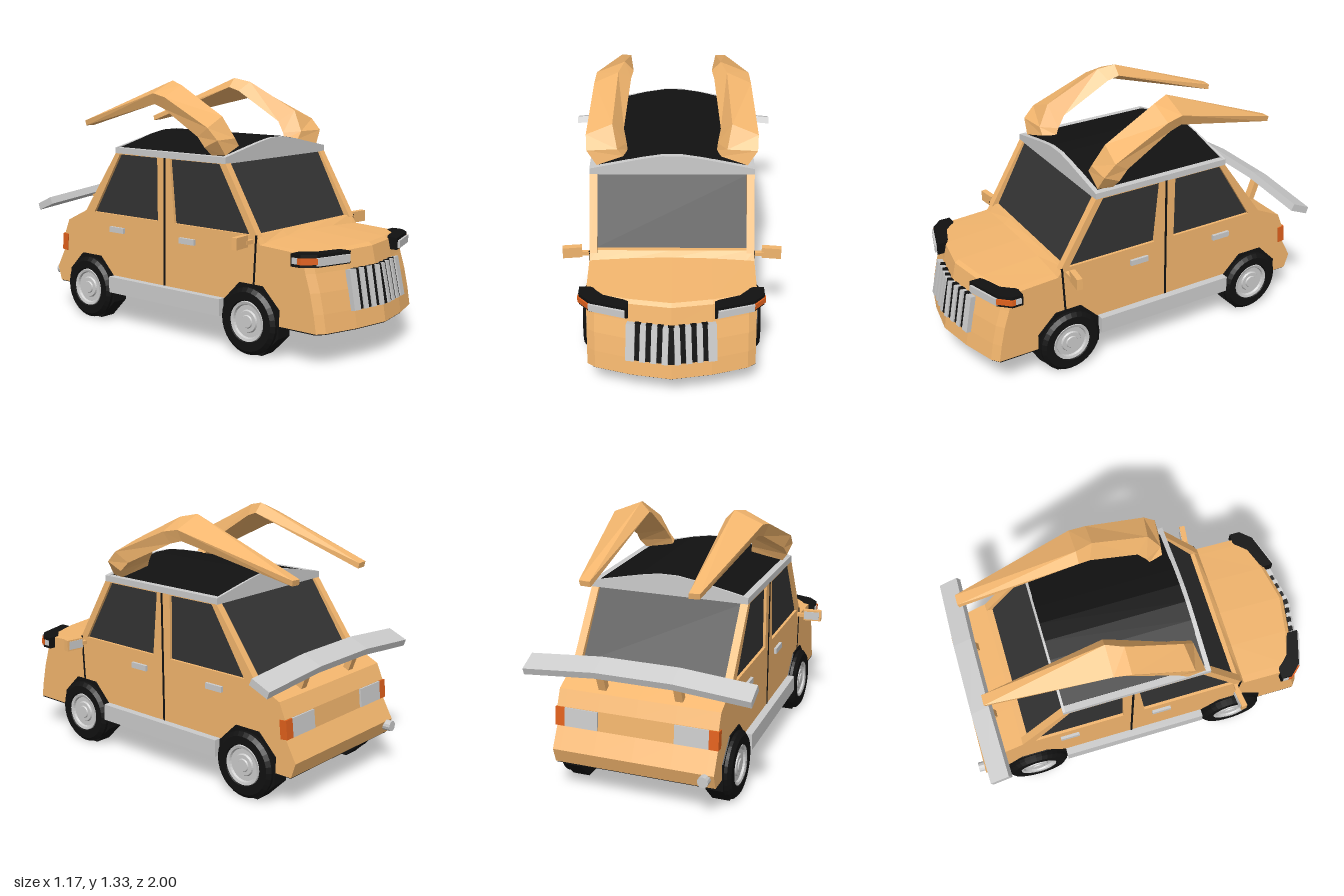
import * as THREE from 'three';

const mat = (color) => new THREE.MeshStandardMaterial({ color, flatShading: true });
const paint = mat(0xf2b56d), grey = mat(0xcccccc), black = mat(0x111111);
const glass = mat(0x333333), amber = mat(0xe0601c);

const V = (x, y, z) => new THREE.Vector3(x, y, z);

// Skin over closed rings with fan caps; winding is fixed by the signed volume
function loft(rings) {
  const tris = [], n = rings[0].length, last = rings.length - 1;
  for (let i = 0; i < last; i++) {
    for (let j = 0; j < n; j++) {
      const k = (j + 1) % n;
      const a = rings[i][j], b = rings[i][k], c = rings[i + 1][k], d = rings[i + 1][j];
      tris.push([a, b, c], [a, c, d]);
    }
  }
  [0, last].forEach((r) => {
    const ring = rings[r], mid = V(0, 0, 0);
    ring.forEach((p) => mid.addScaledVector(p, 1 / n));
    ring.forEach((p, j) => {
      const q = ring[(j + 1) % n];
      tris.push(r ? [mid, p, q] : [mid, q, p]);
    });
  });
  const volume = tris.reduce((s, [a, b, c]) => s + a.dot(b.clone().cross(c)), 0);
  const pos = [];
  tris.forEach(([a, b, c]) => (volume < 0 ? [a, c, b] : [a, b, c]).forEach((p) => pos.push(p.x, p.y, p.z)));
  const g = new THREE.BufferGeometry();
  g.setAttribute('position', new THREE.Float32BufferAttribute(pos, 3));
  g.computeVertexNormals();
  return g;
}

// How far the nose falls back from its centre at a given x
function noseDrop(x) {
  const xs = [0, 0.2, 0.38, 0.42], ds = [0, 0.035, 0.09, 0.12];
  const a = Math.min(Math.abs(x), 0.42);
  let i = 0;
  while (i < 2 && a > xs[i + 1]) i++;
  return ds[i] + ((a - xs[i]) / (xs[i + 1] - xs[i])) * (ds[i + 1] - ds[i]);
}

export function createModel() {
  const car = new THREE.Group();
  car.name = 'car';
  const add = (name, geometry, material) => {
    const m = new THREE.Mesh(geometry, material);
    m.name = name;
    car.add(m);
    return m;
  };
  const box = (name, material, w, h, d, x, y, z) => {
    const m = add(name, new THREE.BoxGeometry(w, h, d), material);
    m.position.set(x, y, z);
    return m;
  };
  // Prism with a plan outline [x, z]
  const slab = (name, material, plan, y0, y1) =>
    add(name, loft([y0, y1].map((y) => plan.map(([x, z]) => V(x, y, z)))), material);
  // Prism with an end outline [x, y]
  const beam = (name, material, end, z0, z1) =>
    add(name, loft([z0, z1].map((z) => end.map(([x, y]) => V(x, y, z)))), material);

  // Lower body: side profile [z, y, nose weight, bonnet crown] swept across x
  const profile = [
    [0.99, 0.168, 1, 0], [0.975, 0.26, 1, 0], [0.953, 0.36, 1, 0], [0.925, 0.45, 1, 0],
    [0.905, 0.53, 1, 0.01], [0.885, 0.543, 1, 0.012], [0.53, 0.555, 0, 0.02], [0.5, 0.598, 0, 0],
    [-0.72, 0.598, 0, 0], [-0.865, 0.53, 0, 0], [-0.9, 0.45, 0, 0], [-0.91, 0.35, 0, 0],
    [-0.968, 0.245, 0, 0], [-0.942, 0.168, 0, 0],
  ];
  const stations = [-0.42, -0.38, -0.2, 0, 0.2, 0.38, 0.42];
  add('lowerBody', loft(stations.map((x) => profile.map(([z, y, nose, crown]) =>
    V(x, y + crown * (1 - (x / 0.42) ** 2), z - nose * noseDrop(x))))), paint);
  const nosePlan = stations.map((x) => [x, 0.985 - noseDrop(x)]);
  slab('underside', black, [...nosePlan, [0.415, -0.938], [-0.415, -0.938]], 0.163, 0.17);

  // Cabin glass inside the pillar frames
  const cabin = [[0.48, 0.59], [0.295, 0.938], [-0.455, 0.938], [-0.69, 0.59]];
  add('cabinGlass', loft([-0.405, 0.405].map((x) => cabin.map(([z, y]) => V(x, y, z)))), glass);

  // Roof: grey slab with arched ends and a black arched top
  const arch = (w, y0, lift) => [[-w, y0], [w, y0], [w, 0.968 + lift], [0.15, 1.025 + lift], [0.05, 1.041 + lift],
    [-0.05, 1.041 + lift], [-0.15, 1.025 + lift], [-w, 0.968 + lift]];
  box('roofSlab', grey, 0.84, 0.033, 0.78, 0, 0.9515, -0.08);
  beam('frontRoofArch', grey, arch(0.42, 0.936, 0), 0.285, 0.31);
  beam('rearRoofArch', grey, arch(0.42, 0.936, 0), -0.475, -0.462);
  beam('roofTop', black, arch(0.385, 0.94, 0.002), -0.464, 0.287);

  // Radiator grille: dark slots between upright bars, following the nose
  const grille = (name, m, w, x, z) => {
    const b = box(name, m, w, 0.2, 0.03, x, 0.355, z - noseDrop(x));
    b.rotation.set(-0.2, Math.sign(x) * 0.17, 0, 'YXZ');
  };
  for (let k = -3; k <= 3; k++) grille('grilleSlot', black, 0.03, k * 0.055, 0.955);
  for (const s of [-1, 1]) {
    for (const x of [0.0275, 0.0825, 0.1375]) grille('grilleBar', grey, 0.029, s * x, 0.964);
    grille('grilleEnd', grey, 0.044, s * 0.199, 0.964);
  }

  // Rear wing: tilted blade, bowed up in the middle
  const blade = [[-0.83, 0.68], [-0.813, 0.645], [-0.92, 0.6], [-0.932, 0.635]];
  add('rearWing', loft([[-0.585, 0], [-0.2, 0.035], [0.2, 0.035], [0.585, 0]].map(([x, up]) =>
    blade.map(([z, y]) => V(x, y + up, z - up * 0.2)))), grey);

  const exhaust = add('exhaust', new THREE.CylinderGeometry(0.028, 0.028, 0.1, 12), grey);
  exhaust.rotation.x = Math.PI / 2;
  exhaust.position.set(-0.375, 0.222, -0.95);

  const tyre = [[0, -0.062], [0.15, -0.062], [0.17, -0.045], [0.17, 0.045], [0.15, 0.062], [0.108, 0.062], [0.1, 0.04]];
  const hub = [[0.106, 0.035], [0.101, 0.06], [0.087, 0.056], [0.082, 0.045], [0.058, 0.045],
    [0.053, 0.054], [0.034, 0.054], [0.03, 0.06], [0, 0.06]];
  const lathe = (pts) => new THREE.LatheGeometry(pts.map(([r, h]) => new THREE.Vector2(r, h)), 32);

  // Curved horn sections: top inner, top outer, bottom outer, bottom inner
  const horn = [
    [[0.25, 1.01, 0.255], [0.385, 0.972, 0.28], [0.4, 0.97, 0.2], [0.23, 1.005, 0.18]],
    [[0.28, 1.05, 0.255], [0.435, 1.05, 0.27], [0.43, 1.01, 0.18], [0.235, 1.04, 0.165]],
    [[0.305, 1.16, 0.19], [0.44, 1.11, 0.21], [0.425, 1.06, 0.13], [0.25, 1.1, 0.12]],
    [[0.285, 1.31, -0.11], [0.413, 1.25, -0.11], [0.39, 1.19, -0.14], [0.22, 1.26, -0.14]],
    [[0.255, 1.33, -0.2], [0.405, 1.268, -0.2], [0.385, 1.21, -0.21], [0.208, 1.28, -0.2]],
    [[0.25, 1.088, -0.84], [0.305, 1.09, -0.84], [0.302, 1.062, -0.835], [0.247, 1.06, -0.835]],
  ];

  // Window frame with two openings, drawn as [z, y]
  const v2 = (pts) => pts.map(([z, y]) => new THREE.Vector2(z, y));
  const frame = new THREE.Shape(v2([[0.515, 0.59], [0.31, 0.937], [-0.472, 0.937], [-0.725, 0.59]]));
  frame.holes.push(
    new THREE.Path(v2([[0.465, 0.598], [0.27, 0.933], [-0.07, 0.933], [-0.04, 0.598]])),
    new THREE.Path(v2([[-0.16, 0.598], [-0.16, 0.933], [-0.44, 0.933], [-0.65, 0.598]])));

  for (const s of [-1, 1]) {
    const side = s > 0 ? 'left' : 'right';
    const mirror = (plan) => plan.map(([x, z]) => [s * x, z]);

    const pillars = new THREE.ExtrudeGeometry(frame, { depth: 0.04, bevelEnabled: false });
    pillars.rotateY(-Math.PI / 2).translate(s > 0 ? 0.42 : -0.38, 0, 0);
    add(side + 'WindowFrame', pillars, paint);

    add(side + 'Horn', loft(horn.map((ring) => ring.map(([x, y, z]) => V(s * x, y, z)))), paint);

    // Wheels with faceted dark arches
    for (const z of [0.476, -0.675]) {
      const housing = add(side + 'WheelArch', new THREE.CylinderGeometry(0.19, 0.19, 0.09, 8), black);
      housing.geometry.rotateY(Math.PI / 8).rotateZ(Math.PI / 2);
      housing.position.set(s * 0.381, 0.178, z);
      for (const [name, pts, m] of [['Tyre', tyre, black], ['Hub', hub, grey]]) {
        const part = add(side + name, lathe(pts), m);
        part.rotation.z = -s * Math.PI / 2;
        part.position.set(s * 0.398, 0.17, z);
      }
    }

    // Sill, door seams and handles
    box(side + 'Sill', grey, 0.05, 0.088, 0.8, s * 0.435, 0.212, -0.1);
    box(side + 'DoorSeam', black, 0.006, 0.68, 0.011, s * 0.42, 0.597, -0.11).rotation.x = 0.015;
    box(side + 'WingSeam', black, 0.006, 0.25, 0.01, s * 0.42, 0.475, 0.5).rotation.x = 0.06;
    for (const z of [0.055, -0.463]) box(side + 'DoorHandle', grey, 0.02, 0.03, 0.104, s * 0.425, 0.516, z);

    // Door mirror
    box(side + 'MirrorArm', paint, 0.06, 0.02, 0.02, s * 0.44, 0.568, 0.48);
    box(side + 'Mirror', paint, 0.1, 0.06, 0.03, s * 0.51, 0.575, 0.477).rotation.y = -s * 0.12;
    box(side + 'MirrorGlass', grey, 0.085, 0.045, 0.004, s * 0.508, 0.575, 0.461).rotation.y = -s * 0.12;

    // Headlamp wrapping round the corner
    slab(side + 'HeadlampHousing', black, mirror([[0.21, 0.918], [0.4, 0.86], [0.455, 0.8], [0.455, 0.742],
      [0.4, 0.742], [0.21, 0.86]]), 0.485, 0.547);
    slab(side + 'Headlamp', grey, mirror([[0.225, 0.926], [0.405, 0.868], [0.4, 0.82], [0.225, 0.86]]), 0.493, 0.532);
    slab(side + 'Indicator', amber, mirror([[0.405, 0.866], [0.461, 0.805], [0.461, 0.785], [0.4, 0.785]]), 0.5, 0.53);
    box(side + 'SideLamp', grey, 0.02, 0.03, 0.03, s * 0.45, 0.515, 0.768);

    // Rear lamps and wing support
    box(side + 'RearLamp', grey, 0.175, 0.095, 0.04, s * 0.288, 0.4, -0.895).rotation.x = 0.1;
    box(side + 'RearIndicator', amber, 0.05, 0.095, 0.04, s * 0.4, 0.4, -0.895).rotation.x = 0.1;
    box(side + 'WingSupport', paint, 0.04, 0.14, 0.035, s * 0.2, 0.595, -0.845).rotation.x = -0.35;
  }
  return car;
}
